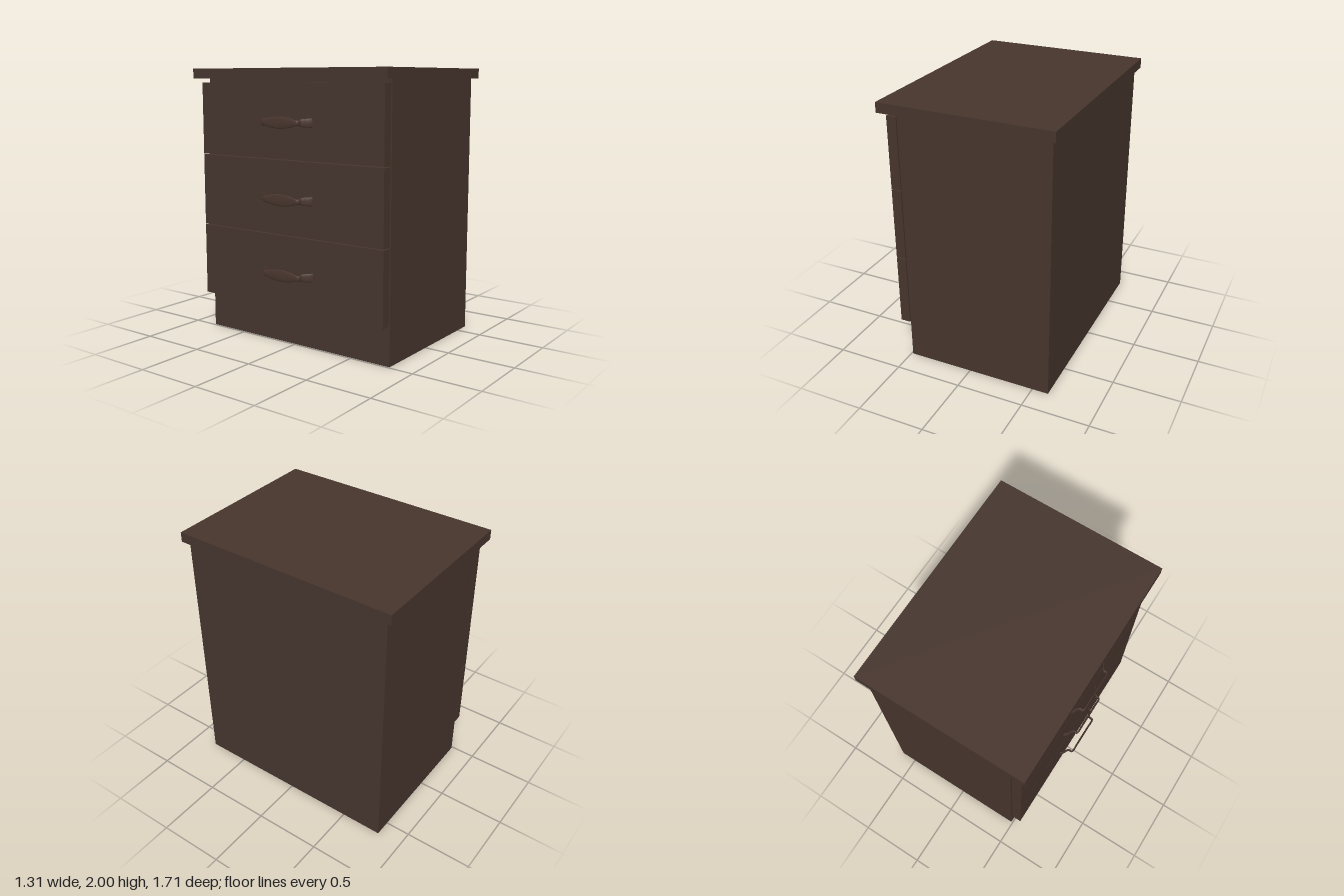
import * as THREE from 'three';

// Flattened bow pull: ellipses swept along a path in the x-z plane
function pullGeometry() {
  // x, z, half height of the section, for one half from foot to middle
  const half = [
    [-0.568, -0.225, 0.034], [-0.59, -0.205, 0.031], [-0.61, -0.168, 0.028],
    [-0.625, -0.16, 0.022], [-0.642, -0.159, 0.019], [-0.649, -0.15, 0.019],
    [-0.649, -0.09, 0.034], [-0.649, 0, 0.044],
  ];
  const stations = [...half, ...half.slice(0, -1).reverse().map(([x, z, h]) => [x, -z, h])];
  const curve = new THREE.CatmullRomCurve3(
    stations.map(([x, z, h]) => new THREE.Vector3(x, h, z)), false, 'centripetal');
  const rings = 56, sides = 14, pos = [], idx = [];
  for (let i = 0; i <= rings; i++) {
    const p = curve.getPoint(i / rings), t = curve.getTangent(i / rings);
    const n = new THREE.Vector2(t.z, -t.x).normalize(); // across the path
    for (let j = 0; j < sides; j++) {
      const a = (j / sides) * Math.PI * 2, w = 0.0065 * Math.cos(a);
      pos.push(p.x + n.x * w, p.y * Math.sin(a), p.z + n.y * w);
      if (i < rings) {
        const b = i * sides + j, c = i * sides + ((j + 1) % sides);
        idx.push(b, c, b + sides, c, c + sides, b + sides);
      }
    }
  }
  const g = new THREE.BufferGeometry();
  g.setAttribute('position', new THREE.Float32BufferAttribute(pos, 3));
  g.setIndex(idx);
  g.computeVertexNormals();
  return g;
}

export function createModel() {
  const model = new THREE.Group();
  const wood = new THREE.MeshStandardMaterial({ color: 0x46352d });
  wood.name = 'dark wood';
  const bronze = new THREE.MeshStandardMaterial({ color: 0x4a362f, side: THREE.DoubleSide });
  bronze.name = 'bronze brown';

  // Box given by its x and y limits and its half depth in z
  function box(name, x0, x1, y0, y1, hz, parent = model) {
    const m = new THREE.Mesh(new THREE.BoxGeometry(x1 - x0, y1 - y0, hz * 2), wood);
    m.position.set((x0 + x1) / 2, (y0 + y1) / 2, 0);
    m.name = name;
    parent.add(m);
  }

  box('cabinetBody', -0.488, 0.622, 0, 1.927, 0.813);
  box('top', -0.618, 0.655, 1.927, 2, 0.857);

  // Three drawers with a recessed backing and a pull on the -x side
  const pull = pullGeometry();
  for (let i = 0; i < 3; i++) {
    const drawer = new THREE.Group();
    drawer.name = 'drawer' + (i + 1);
    const y = 0.285 + i * 0.5405;
    box('drawerFront', -0.572, -0.498, y, y + 0.533, 0.81, drawer);
    box('drawerBacking', -0.498, -0.488, y + 0.028, y + 0.505, 0.78, drawer);
    const handle = new THREE.Mesh(pull, bronze);
    handle.name = 'drawerHandle';
    handle.position.y = y + 0.262;
    drawer.add(handle);
    model.add(drawer);
  }
  return model;
}
